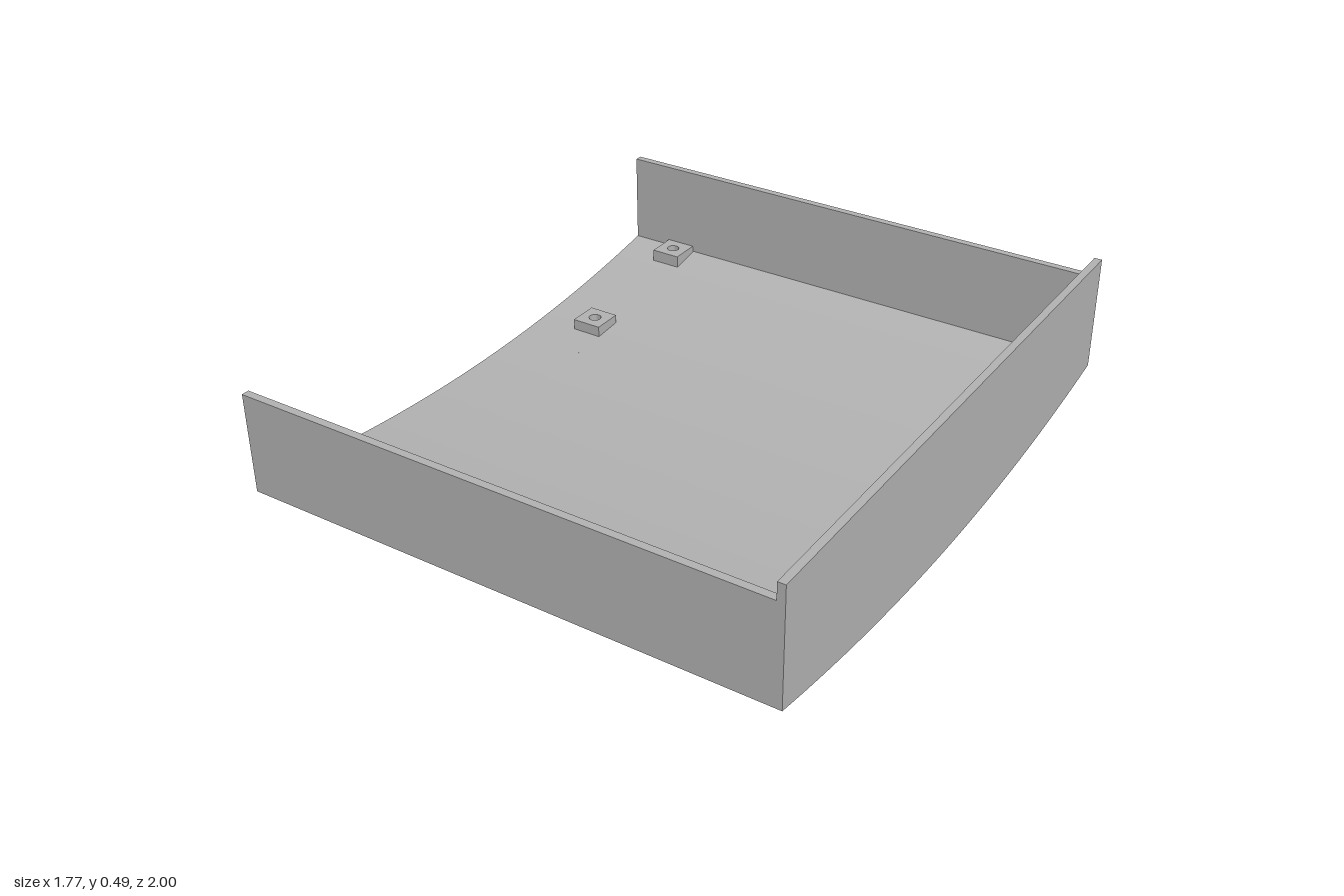
import * as THREE from 'three';
import { toCreasedNormals } from 'three/addons/utils/BufferGeometryUtils.js';

const HALF_X = 0.885, WALL = 0.025;
const INNER_X = HALF_X - WALL;
const WALL_TOP = 0.434, SIDE_TOP = 0.49;
const PAD = 0.104, PAD_X = -0.69, PAD_Z = [-0.918, -0.423];
const HOLE = 0.021;

// height of the bowed underside at a given z
const R = 5.48;
const under = (z) => 0.012 + R - Math.sqrt(R * R - z * z);

export function createModel() {
  const model = new THREE.Group();
  const grey = new THREE.MeshStandardMaterial({ color: 0xb2b2b2 });
  grey.name = 'grey';

  const add = (name, geometry) => {
    const mesh = new THREE.Mesh(geometry, grey);
    mesh.name = name;
    model.add(mesh);
    return mesh;
  };

  // slab from x0 to x1 with a bowed bottom; top(z) gives its upper edge
  const slab = (name, x0, x1, z0, z1, top) => {
    const n = Math.max(2, Math.round((z1 - z0) * 32));
    const low = [], high = [];
    for (let i = 0; i <= n; i++) {
      const z = z0 + (z1 - z0) * i / n;
      low.push(new THREE.Vector2(-z, under(z)));
      high.unshift(new THREE.Vector2(-z, top(z)));
    }
    const shape = new THREE.Shape([...low, ...high]);
    const geometry = new THREE.ExtrudeGeometry(shape, { depth: x1 - x0, bevelEnabled: false });
    geometry.rotateY(Math.PI / 2);
    geometry.translate(x0, 0, 0);
    return add(name, toCreasedNormals(geometry, 0.4));
  };

  // bowed floor, left open where the mounting pads pass through it
  const floorTop = (z) => under(z) + WALL;
  const zIn = 1 - WALL;
  const padL = PAD_X - PAD / 2, padR = PAD_X + PAD / 2;
  slab('floorOuter', -HALF_X, padL, -zIn, zIn, floorTop);
  slab('floorMain', padR, INNER_X, -zIn, zIn, floorTop);
  let start = -zIn;
  for (const z of PAD_Z) {
    slab('floorBetweenPads', padL, padR, start, z - PAD / 2, floorTop);
    start = z + PAD / 2;
  }
  slab('floorBetweenPads', padL, padR, start, zIn, floorTop);

  // upright walls: front, back and the taller left side; the right side is open
  slab('frontWall', -HALF_X, INNER_X, zIn, 1, () => WALL_TOP);
  slab('backWall', -HALF_X, INNER_X, -1, -zIn, () => WALL_TOP);
  slab('leftWall', INNER_X, HALF_X, -1, 1, () => SIDE_TOP);

  // square mounting pads with a round through hole
  const h = PAD / 2;
  const padShape = new THREE.Shape([[-h, -h], [h, -h], [h, h], [-h, h]]
    .map(([x, y]) => new THREE.Vector2(x, y)));
  padShape.holes.push(new THREE.Path().absarc(0, 0, HOLE, 0, Math.PI * 2, true));
  for (const z of PAD_Z) {
    const bottom = under(z) - 0.025;
    const geometry = new THREE.ExtrudeGeometry(padShape,
      { depth: 0.083, bevelEnabled: false, curveSegments: 24 });
    geometry.rotateX(-Math.PI / 2);
    const pad = add('mountingPad', toCreasedNormals(geometry, 0.5));
    pad.position.set(PAD_X, Math.max(0, bottom), z);
  }
  return model;
}
